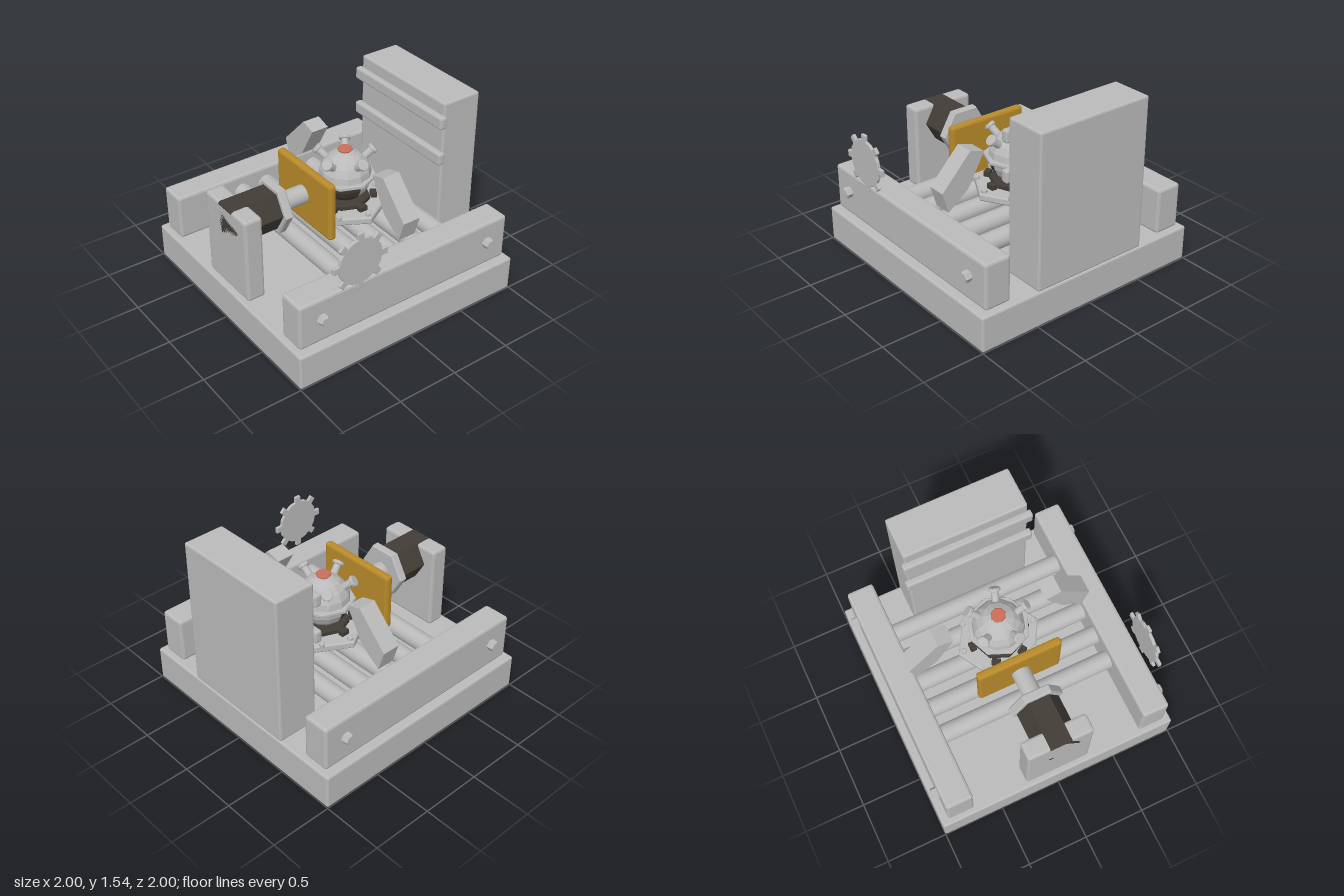
import * as THREE from 'three';
import { RoundedBoxGeometry } from 'three/addons/geometries/RoundedBoxGeometry.js';

const mat = (name, color) => {
  const m = new THREE.MeshStandardMaterial({ color });
  m.name = name;
  return m;
};

// Gives every face its own normal for a hard-edged look
function flat(g) {
  const f = g.index ? g.toNonIndexed() : g;
  f.computeVertexNormals();
  return f;
}

export function createModel() {
  const root = new THREE.Group();
  root.name = 'rollerMachine';
  const grey = mat('steelGrey', 0xbababa);
  const dark = mat('darkMetal', 0x423c35);
  const yellow = mat('ochre', 0xb98a2a);
  const red = mat('buttonRed', 0xcb6c5a);

  function add(name, geo, material, x = 0, y = 0, z = 0, parent = root) {
    const m = new THREE.Mesh(geo, material);
    m.name = name;
    m.position.set(x, y, z);
    parent.add(m);
    return m;
  }
  // Chamfered box given by its min and max limits
  function block(name, material, x0, x1, y0, y1, z0, z1, bevel = 0.015) {
    const g = flat(new RoundedBoxGeometry(x1 - x0, y1 - y0, z1 - z0, 1, bevel));
    return add(name, g, material, (x0 + x1) / 2, (y0 + y1) / 2, (z0 + z1) / 2);
  }
  // Chamfered prism along y, centred at the origin
  function prism(r, h, sides, bevel = 0.01) {
    const p = [[0, -h / 2], [r - bevel, -h / 2], [r, -h / 2 + bevel],
      [r, h / 2 - bevel], [r - bevel, h / 2], [0, h / 2]];
    return flat(new THREE.LatheGeometry(p.map(q => new THREE.Vector2(...q)), sides));
  }

  // Base and back column with its two bands
  block('base', grey, -1, 1, 0, 0.29, -1, 1);
  block('backColumn', grey, -0.5, 0.5, 0.295, 1.54, -1, -0.66);
  for (const y of [1.03, 1.34]) block('columnBand', grey, -0.525, 0.525, y, y + 0.1, -0.67, -0.61);

  // Side rails with hex bolts, and angled arms
  const armShape = new THREE.Shape([[0.385, 1.08], [0.535, 0.815], [0.715, 0.68],
    [0.767, 0.85], [0.51, 1.118]].map(p => new THREE.Vector2(...p)));
  for (const s of [-1, 1]) {
    block('sideRail', grey, s * 0.83 - 0.11, s * 0.83 + 0.11, 0.3, 0.675, -0.96, 0.96, 0.02);
    for (const z of [-0.77, 0.77]) {
      const bolt = add('railBolt', prism(0.045, 0.06, 6), grey, s * 0.96, 0.505, z);
      bolt.rotation.z = Math.PI / 2;
    }
    const arm = new THREE.ExtrudeGeometry(armShape, { depth: 0.15, bevelEnabled: false });
    if (s < 0) arm.rotateY(Math.PI).translate(0, 0, 0.15);
    add('arm', arm, grey, 0, 0, -0.235);
  }

  // Rollers
  for (let i = 0; i < 5; i++) {
    const r = add('roller', new THREE.CylinderGeometry(0.075, 0.075, 1.44, 24), grey, 0, 0.525, -0.54 + i * 0.23);
    r.rotation.z = Math.PI / 2;
  }

  // Ram: bracket, hex motor, flange, shaft and push plate
  const axisY = 0.85;
  block('motorBracket', grey, -0.27, 0.27, 0.295, 1, 0.81, 0.96, 0.02);
  const along = (name, geo, material, z) => {
    // corners point sideways
    geo.rotateX(Math.PI / 2);
    return add(name, geo, material, 0, axisY, z);
  };
  const hexZ = (r, h) => prism(r, h, 6).rotateY(Math.PI / 2);
  along('motor', hexZ(0.175, 0.4), dark, 0.76);
  along('motorFlange', hexZ(0.215, 0.07), grey, 0.535);
  along('shaft', new THREE.CylinderGeometry(0.075, 0.075, 0.26, 20), grey, 0.38);
  block('pushPlate', yellow, -0.345, 0.345, 0.6, 1.08, 0.21, 0.275, 0.02);

  // Toothed wheel beside the left rail
  const wheel = new THREE.Group();
  wheel.name = 'toothedWheel';
  wheel.position.set(0.965, 0.89, 0.464);
  root.add(wheel);
  add('wheelDisc', prism(0.19, 0.026, 16, 0.004), grey, 0, 0, 0, wheel).rotation.z = Math.PI / 2;
  for (let i = 0; i < 8; i++) {
    const g = flat(new RoundedBoxGeometry(0.026, 0.07, 0.055, 1, 0.006));
    g.translate(0, 0.2, 0).rotateX(i * Math.PI / 4);
    add('wheelTooth', g, grey, 0, 0, 0, wheel);
  }

  // Round device on a hex mounting plate
  const device = new THREE.Group();
  device.name = 'device';
  device.position.z = -0.12;
  root.add(device);
  const part = (name, geo, material, x, y, z) => add(name, geo, material, x, y, z, device);
  part('mountPlate', prism(0.345, 0.06, 6).rotateY(Math.PI / 2), grey, 0, 0.63, 0);
  for (let i = 0; i < 8; i++) {
    const a = i * Math.PI / 4;
    part('plateBolt', prism(0.024, 0.035, 6, 0.005), grey, 0.3 * Math.cos(a), 0.667, 0.3 * Math.sin(a));
  }
  part('deviceFoot', prism(0.2, 0.05, 8), dark, 0, 0.685, 0);
  for (let i = 0; i < 6; i++) {
    const clamp = part('footClamp', flat(new RoundedBoxGeometry(0.05, 0.045, 0.07, 1, 0.006)
      .translate(0.225, 0, 0)), dark, 0, 0.687, 0);
    clamp.rotation.y = i * Math.PI / 3;
  }
  // Upper shell, dark front belly and grey rear belly
  const R = 0.21, half = Math.PI / 2;
  part('upperShell', flat(new THREE.SphereGeometry(R, 12, 5, 0, Math.PI * 2, 0, half)), grey, 0, 0.885, 0);
  part('frontBelly', flat(new THREE.SphereGeometry(R, 6, 5, 0, Math.PI, half, half)), dark, 0, 0.885, 0);
  part('rearBelly', flat(new THREE.SphereGeometry(R, 6, 5, Math.PI, Math.PI, half, half)), grey, 0, 0.885, 0);
  part('waistRing', prism(0.247, 0.032, 8, 0.006), grey, 0, 0.885, 0);
  part('buttonStem', new THREE.CylinderGeometry(0.045, 0.045, 0.03, 12), grey, 0, 1.09, 0);
  part('button', prism(0.06, 0.02, 8, 0.006), red, 0, 1.108, 0);

  // Five raised studs around the shell
  for (let i = 0; i < 5; i++) {
    const stud = new THREE.Group();
    stud.name = 'stud';
    const a = i * Math.PI * 2 / 5;
    const dir = new THREE.Vector3(Math.cos(a), 0.82, Math.sin(a)).normalize();
    stud.quaternion.setFromUnitVectors(new THREE.Vector3(0, 1, 0), dir);
    stud.position.y = 0.885;
    device.add(stud);
    add('studStem', new THREE.CylinderGeometry(0.03, 0.03, 0.12, 12), grey, 0, 0.23, 0, stud);
    add('studHead', prism(0.046, 0.03, 10, 0.006), grey, 0, 0.295, 0, stud);
  }
  return root;
}
